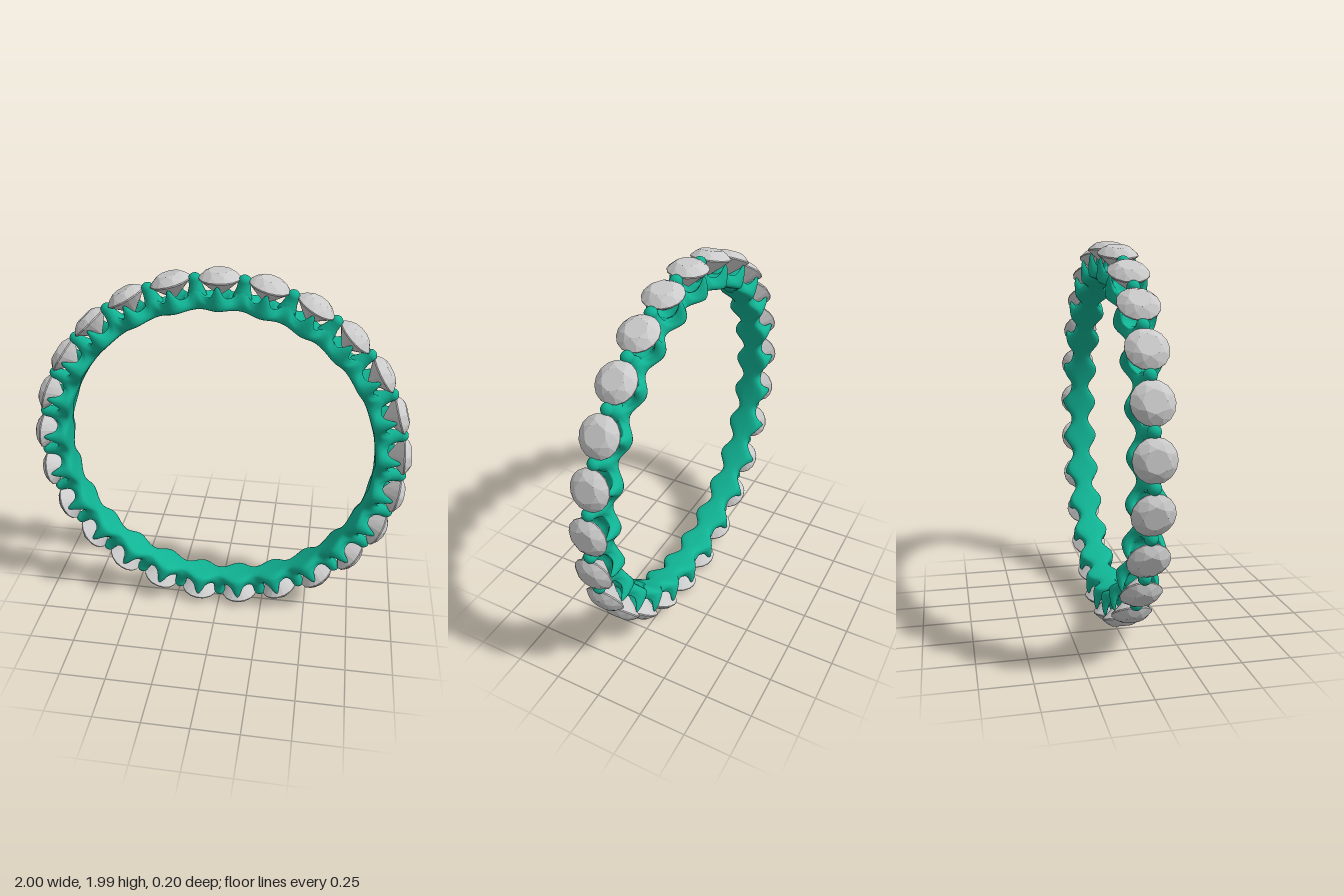
import * as THREE from 'three';
import { ConvexGeometry } from 'three/addons/geometries/ConvexGeometry.js';

const COUNT = 25;            // stones around the band
const CENTRE = 0.998;        // height of the ring's centre
const STEP = (Math.PI * 2) / COUNT;
const INNER = 0.812;

const metal = new THREE.MeshStandardMaterial({ color: 0x10b394 });
const gem = new THREE.MeshStandardMaterial({ color: 0xcccccc, flatShading: true });

const bump = (d, s) => Math.exp(-((d / s) ** 2));

// Cross-section of the band; p is the phase, 0 under a stone, 0.5 between two stones
function section(p) {
  const c = Math.cos(p * Math.PI * 2);
  const d = Math.min(p, 1 - p);
  const w = 0.074 + 0.024 * c;
  const top = 0.877 + 0.066 * bump(d, 0.11) + 0.055 * bump(d - 0.5, 0.12);
  const wt = w - 0.006 - 0.012 * (1 - c) / 2;
  const seat = Math.min(0.877 - 0.027 * c, top - 0.005);
  const half = [
    [INNER + 0.003, w * 0.6],
    [INNER + 0.014, w * 0.94],
    [(INNER + top) / 2, w],
    [top - 0.012, wt],
    [top, wt - 0.01],
    [top * 0.6 + seat * 0.4, wt - 0.024],
    [seat, wt * 0.3],
  ];
  const pts = [[INNER, 0], ...half, ...half.slice().reverse().map(([r, z]) => [r, -z])];
  const curve = new THREE.CatmullRomCurve3(
    pts.map(([r, z]) => new THREE.Vector3(0, r, z)), true, 'centripetal');
  return curve.getPoints(45).slice(0, 45);
}

// Scalloped band swept round the ring
function bandGeometry() {
  const per = 28, rings = COUNT * per, pos = [], index = [];
  const sections = Array.from({ length: per }, (_, k) => section(k / per));
  const n = sections[0].length;
  for (let i = 0; i < rings; i++) {
    const a = (i / per) * STEP;
    for (const v of sections[i % per]) pos.push(v.y * Math.sin(a), v.y * Math.cos(a), v.z);
    const i2 = (i + 1) % rings;
    for (let j = 0; j < n; j++) {
      const j2 = (j + 1) % n;
      const A = i * n + j, B = i2 * n + j, C = i * n + j2, D = i2 * n + j2;
      index.push(A, B, C, B, D, C);
    }
  }
  const g = new THREE.BufferGeometry();
  g.setAttribute('position', new THREE.Float32BufferAttribute(pos, 3));
  g.setIndex(index);
  g.computeVertexNormals();
  return g;
}

// Round brilliant: table, star points, girdle, pavilion and culet
function stoneGeometry() {
  const pts = [];
  const ring = (count, r, y, offset = 0) => {
    for (let k = 0; k < count; k++) {
      const a = ((k + offset) / count) * Math.PI * 2;
      pts.push(new THREE.Vector3(r * Math.cos(a), y, r * Math.sin(a)));
    }
  };
  ring(8, 0.054, 0.998);
  ring(8, 0.077, 0.985, 0.5);
  ring(16, 0.101, 0.962);
  ring(16, 0.101, 0.956);
  ring(8, 0.05, 0.911, 0.5);
  pts.push(new THREE.Vector3(0, 0.872, 0));
  return new ConvexGeometry(pts);
}

// Prong with a flared foot and a rounded tip
function prongGeometry() {
  const profile = [[0.05, 0.86], [0.044, 0.89], [0.034, 0.92], [0.031, 0.945]];
  for (let k = 0; k <= 6; k++) {
    const a = (k / 6) * Math.PI / 2;
    profile.push([0.032 * Math.cos(a), 0.955 + 0.031 * Math.sin(a)]);
  }
  return new THREE.LatheGeometry(
    profile.map(([r, y]) => new THREE.Vector2(Math.max(r, 0), y)), 16);
}

export function createModel() {
  const model = new THREE.Group();
  model.name = 'eternityRing';
  model.position.y = CENTRE;

  const add = (name, geometry, material, angle = 0) => {
    const mesh = new THREE.Mesh(geometry, material);
    mesh.name = name;
    mesh.rotation.z = -angle;
    model.add(mesh);
  };

  add('band', bandGeometry(), metal);
  const stone = stoneGeometry();
  const prong = prongGeometry();
  for (let i = 0; i < COUNT; i++) {
    add('stone', stone, gem, i * STEP);
    add('prong', prong, metal, (i + 0.5) * STEP);
  }

  const root = new THREE.Group();
  root.name = 'ring';
  root.add(model);
  return root;
}
